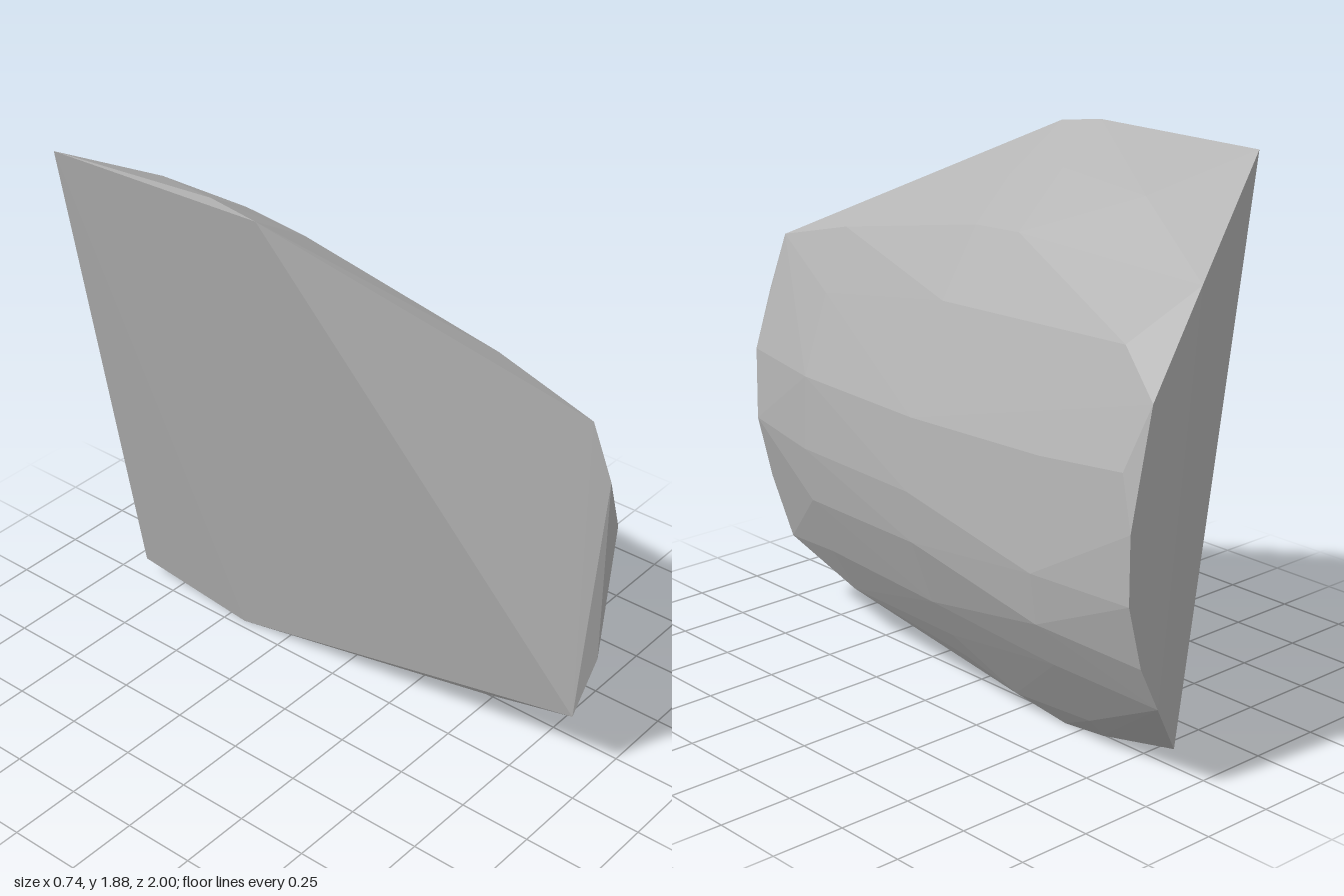
import * as THREE from 'three';
import { ConvexGeometry } from 'three/addons/geometries/ConvexGeometry.js';

// Faceted half-dome shard: the convex hull of cross-sections along z
export function createModel() {
  const group = new THREE.Group();
  group.name = 'stoneShard';
  const stone = new THREE.MeshStandardMaterial({ color: 0xb4b4b4 });
  stone.name = 'grey stone';

  // Corners of the flat split side and the blunt ends, [x, y, z]
  const points = [
    [-0.37, 1.86, -0.81], [-0.315, 1.85, -0.03], [-0.32, 1.875, -0.2],
    [0.03, 0, -0.43], [0.015, 0.07, -0.89],
    [0.06, 1.37, 0.94], [0.085, 1.17, 1], [0.16, 0.97, 0.99],
    [0.185, 0.73, 0.96], [0.11, 0.49, 0.985], [0.06, 0.265, 0.94],
    [0.21, 1.38, -0.84], [0.325, 1.05, -0.95],
  ].map((p) => new THREE.Vector3(...p));

  // Rounded outer side: z of each section, then its [x, y] outline from the top down
  const sections = [
    [0.58, [[0.08, 1.46], [0.17, 1.25], [0.265, 0.98], [0.275, 0.73], [0.245, 0.54], [0.165, 0.335], [0.07, 0.17]]],
    [-0.04, [[-0.085, 1.71], [0.06, 1.57], [0.2, 1.35], [0.335, 1.0], [0.355, 0.76], [0.335, 0.585], [0.25, 0.36], [0.165, 0.22], [0.1, 0.125]]],
    [-0.24, [[-0.12, 1.755], [0.065, 1.58], [0.255, 0.36], [0.17, 0.22], [0.065, 0.05]]],
    [-0.62, [[-0.235, 1.8], [-0.09, 1.73], [0.06, 1.57], [0.22, 1.32], [0.335, 1.02], [0.37, 0.66], [0.345, 0.49], [0.265, 0.335], [0.11, 0.1], [0.05, 0.03]]],
    [-1, [[0.07, 1.56], [0.26, 1.25], [0.34, 0.88], [0.34, 0.66], [0.285, 0.45], [0.21, 0.3]]],
  ];
  for (const [z, outline] of sections) {
    for (const [x, y] of outline) points.push(new THREE.Vector3(x, y, z));
  }

  const shard = new THREE.Mesh(new ConvexGeometry(points), stone);
  shard.name = 'shard';
  group.add(shard);
  return group;
}
